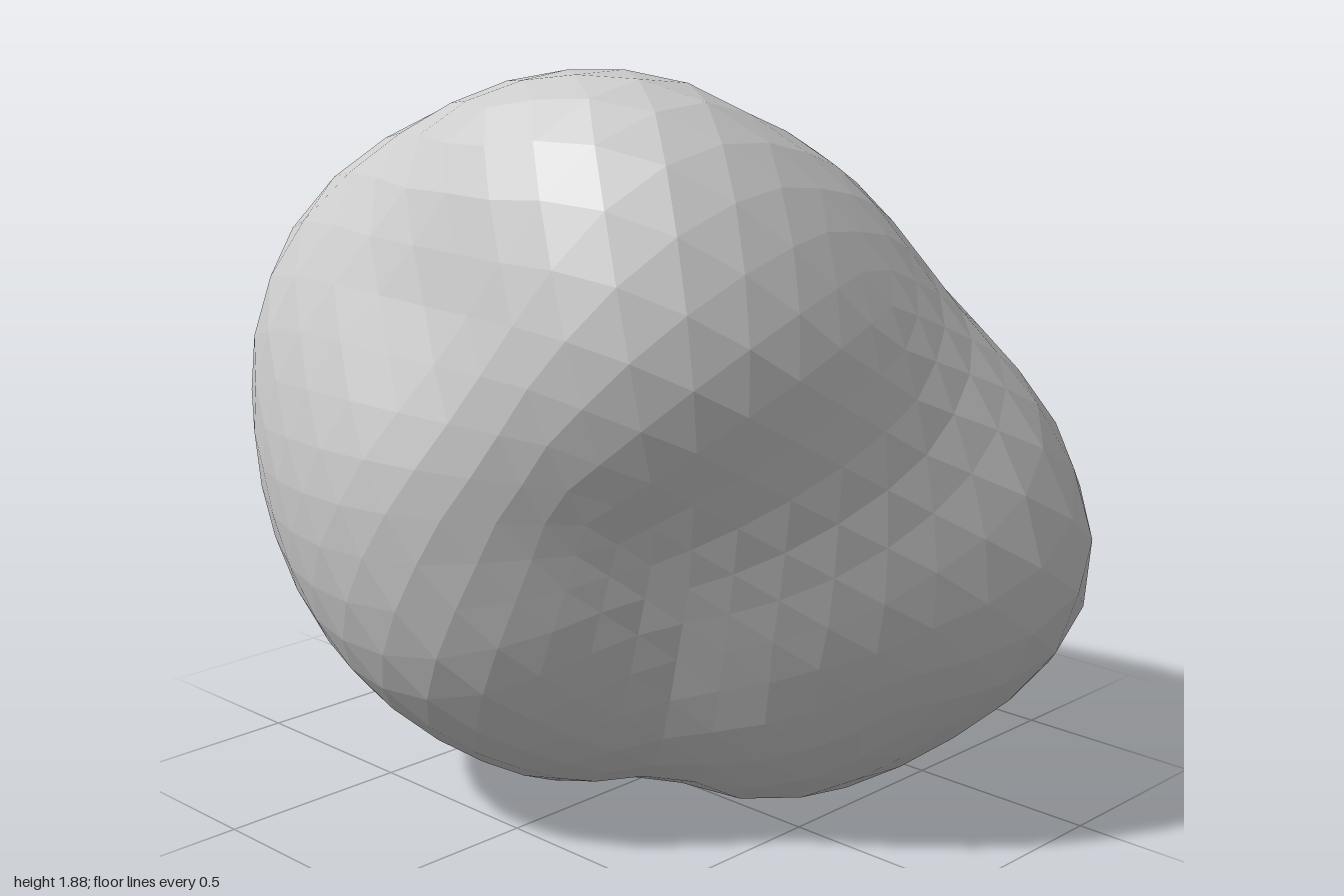
import * as THREE from 'three';

// Radius of the boulder by elevation (rows, every 30 degrees from bottom to top)
// and azimuth (columns, every 45 degrees from +x towards +z).
const RADII = [
  [0.86, 0.86, 0.86, 0.86, 0.86, 0.86, 0.86, 0.86],
  [0.94, 1.01, 0.96, 0.83, 0.90, 0.90, 0.88, 0.92],
  [0.89, 1.06, 0.92, 0.71, 0.92, 0.97, 0.955, 0.97],
  [0.82, 0.99, 0.86, 0.76, 0.90, 1.02, 1.00, 0.89],
  [0.68, 0.82, 0.88, 0.98, 0.88, 1.07, 0.97, 0.76],
  [0.74, 0.83, 0.93, 1.07, 1.06, 1.00, 0.94, 0.78],
  [0.90, 0.90, 0.90, 0.90, 0.90, 0.90, 0.90, 0.90],
];
const CENTRE_Y = 0.9;

// Local swellings and hollows: direction and height
const BUMPS = [
  { dir: new THREE.Vector3(0.4, -0.26, 0.92).normalize(), height: 0.14 }, // front nose
  { dir: new THREE.Vector3(0.9, -0.21, 0.27).normalize(), height: 0.08 }, // side swelling
  { dir: new THREE.Vector3(0.68, -0.26, -0.68).normalize(), height: 0.04 }, // back corner
  { dir: new THREE.Vector3(-0.9, -0.12, 0.43).normalize(), height: -0.06 }, // side hollow
];

// Table lookup that wraps around the axis and carries on over the poles
function radiusAt(row, col) {
  if (row < 0) { row = -row; col += 4; }
  if (row > 6) { row = 12 - row; col += 4; }
  return RADII[row][((col % 8) + 8) % 8];
}

function cubic(a, b, c, d, t) {
  return b + 0.5 * t * (c - a + t * (2 * a - 5 * b + 4 * c - d + t * (3 * (b - c) + d - a)));
}

// Smooth radius in any direction, bumps included
function radius(dir) {
  const v = (Math.asin(THREE.MathUtils.clamp(dir.y, -1, 1)) / Math.PI + 0.5) * 6;
  const u = (Math.atan2(dir.z, dir.x) / Math.PI) * 4;
  const row = Math.min(Math.floor(v), 5);
  const col = Math.floor(u);
  const across = [-1, 0, 1, 2].map((i) =>
    cubic(...[-1, 0, 1, 2].map((j) => radiusAt(row + i, col + j)), u - col));
  return BUMPS.reduce(
    (r, bump) => r + bump.height * Math.exp(14 * (dir.dot(bump.dir) - 1)),
    cubic(...across, v - row)
  );
}

export function createModel() {
  const group = new THREE.Group();
  group.name = 'boulder';

  // Faceted ball pushed out to the boulder's radius
  const geometry = new THREE.IcosahedronGeometry(1, 7);
  const pos = geometry.attributes.position;
  const p = new THREE.Vector3();
  for (let i = 0; i < pos.count; i++) {
    p.fromBufferAttribute(pos, i).normalize();
    p.multiplyScalar(radius(p));
    pos.setXYZ(i, p.x, p.y + CENTRE_Y, p.z);
  }
  geometry.computeVertexNormals();

  const rock = new THREE.Mesh(
    geometry,
    new THREE.MeshStandardMaterial({ color: 0xcccccc, flatShading: true })
  );
  rock.name = 'rock';
  group.add(rock);
  return group;
}
